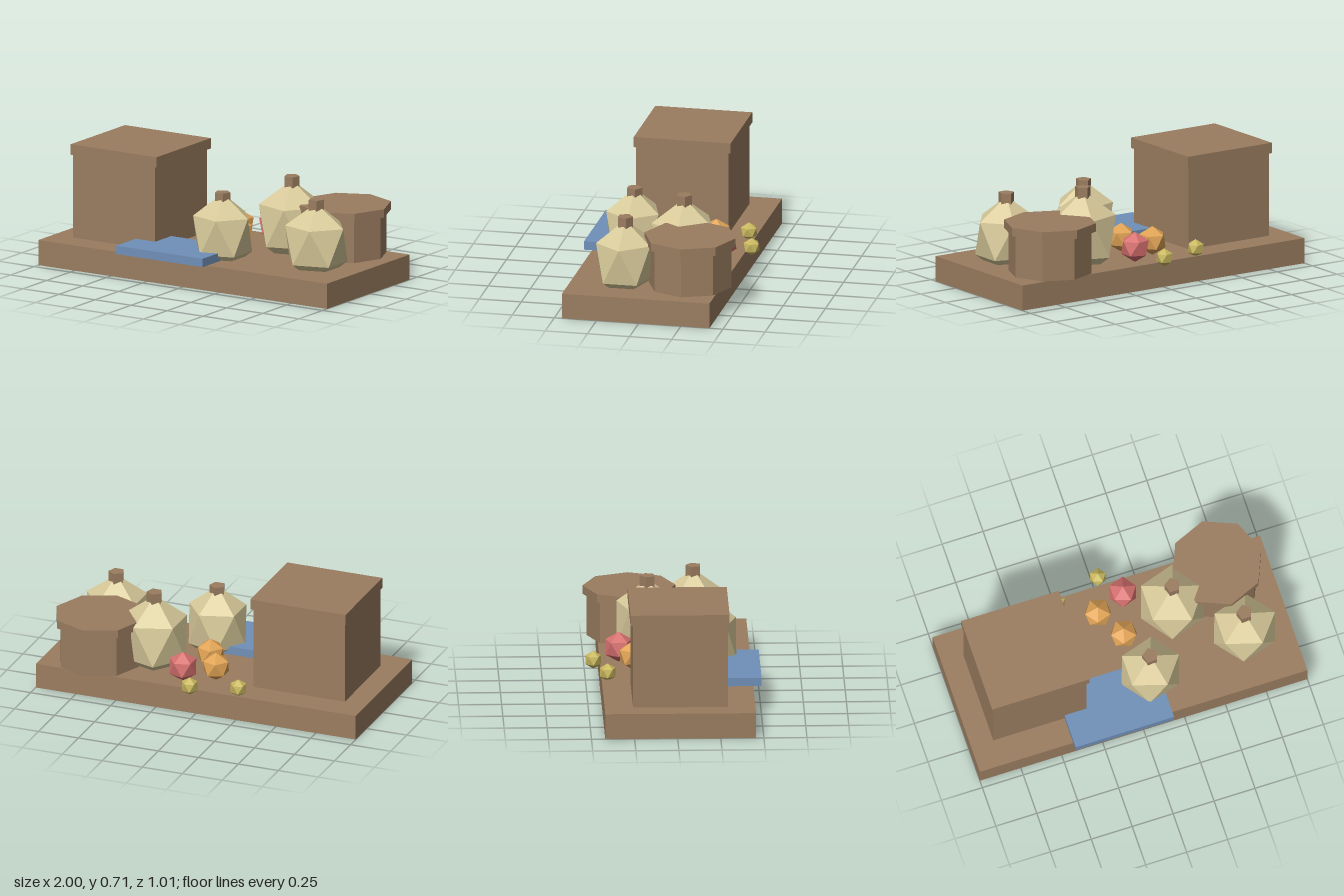
import * as THREE from 'three';

const paint = (name, color) => {
  const m = new THREE.MeshStandardMaterial({ color });
  m.name = name;
  return m;
};

export function createModel() {
  const wood = paint('wood', 0x9b7d60);
  const cloth = paint('sackCloth', 0xd8ca9a);
  const blue = paint('blueMat', 0x7090b8);
  const orange = paint('orangeFruit', 0xe0a355);
  const red = paint('redFruit', 0xd6706e);
  const yellow = paint('yellowFruit', 0xc9b85e);

  const model = new THREE.Group();
  model.name = 'marketGoods';

  const add = (name, geometry, material, x, y, z, parent = model) => {
    const mesh = new THREE.Mesh(geometry, material);
    mesh.name = name;
    mesh.position.set(x, y, z);
    parent.add(mesh);
    return mesh;
  };

  // Box given by its lower and upper limits on each axis
  const box = (name, material, [x0, x1], [y0, y1], [z0, z1]) =>
    add(name, new THREE.BoxGeometry(x1 - x0, y1 - y0, z1 - z0), material,
      (x0 + x1) / 2, (y0 + y1) / 2, (z0 + z1) / 2);

  // Upright faceted drum with sharp edges
  const drum = (name, radius, y0, y1, sides, x, z, parent) => {
    const g = new THREE.CylinderGeometry(radius, radius, y1 - y0, sides).toNonIndexed();
    g.computeVertexNormals();
    return add(name, g, wood, x, (y0 + y1) / 2, z, parent);
  };

  // Icosahedron standing on one point, with an upper-ring corner towards +x
  const ball = new THREE.IcosahedronGeometry(1, 0);
  ball.rotateZ(-Math.atan(2 / (1 + Math.sqrt(5))));

  // Platform, crate and mat
  box('platform', wood, [-1, 1], [0, 0.15], [-0.42, 0.455]);
  box('crateBody', wood, [-0.865, -0.295], [0.15, 0.645], [-0.255, 0.295]);
  box('crateLid', wood, [-0.875, -0.28], [0.645, 0.707], [-0.27, 0.305]);
  box('mat', blue, [-0.43, 0.17], [0.15, 0.2], [0.125, 0.503]);

  // Eight-sided barrel
  drum('barrelBody', 0.245, 0.15, 0.4, 8, 0.675, -0.235);
  drum('barrelLid', 0.27, 0.4, 0.45, 8, 0.675, -0.235);

  // Sacks, sunk into the platform, each with a five-sided neck
  const sacks = [ // x, y, z, width, height, depth, top of neck
    [0.12, 0.288, 0.215, 0.196, 0.24, 0.183, 0.535],
    [0.371, 0.312, -0.135, 0.216, 0.258, 0.212, 0.595],
    [0.72, 0.292, 0.14, 0.209, 0.24, 0.189, 0.555],
  ];
  for (const [x, y, z, w, h, d, top] of sacks) {
    const sack = new THREE.Group();
    sack.name = 'sack';
    model.add(sack);
    add('sackBody', ball, cloth, x, y, z, sack).scale.set(w, h, d);
    drum('sackNeck', 0.047, top - 0.09, top, 5, x, z, sack).rotation.y = Math.PI;
  }

  // Loose fruit
  const fruits = [ // name, material, x, y, z, radius, turn
    ['orangeFruit', orange, -0.052, 0.233, -0.235, 0.086, Math.PI],
    ['orangeFruit', orange, 0.05, 0.233, -0.065, 0.086, Math.PI],
    ['redFruit', red, 0.125, 0.235, -0.31, 0.09, 0],
    ['yellowFruit', yellow, -0.252, 0.19, -0.385, 0.053, 0],
    ['yellowFruit', yellow, 0.022, 0.188, -0.46, 0.053, 0],
  ];
  for (const [name, material, x, y, z, r, turn] of fruits) {
    const fruit = add(name, ball, material, x, y, z);
    fruit.scale.setScalar(r);
    fruit.rotation.y = turn;
  }

  return model;
}
